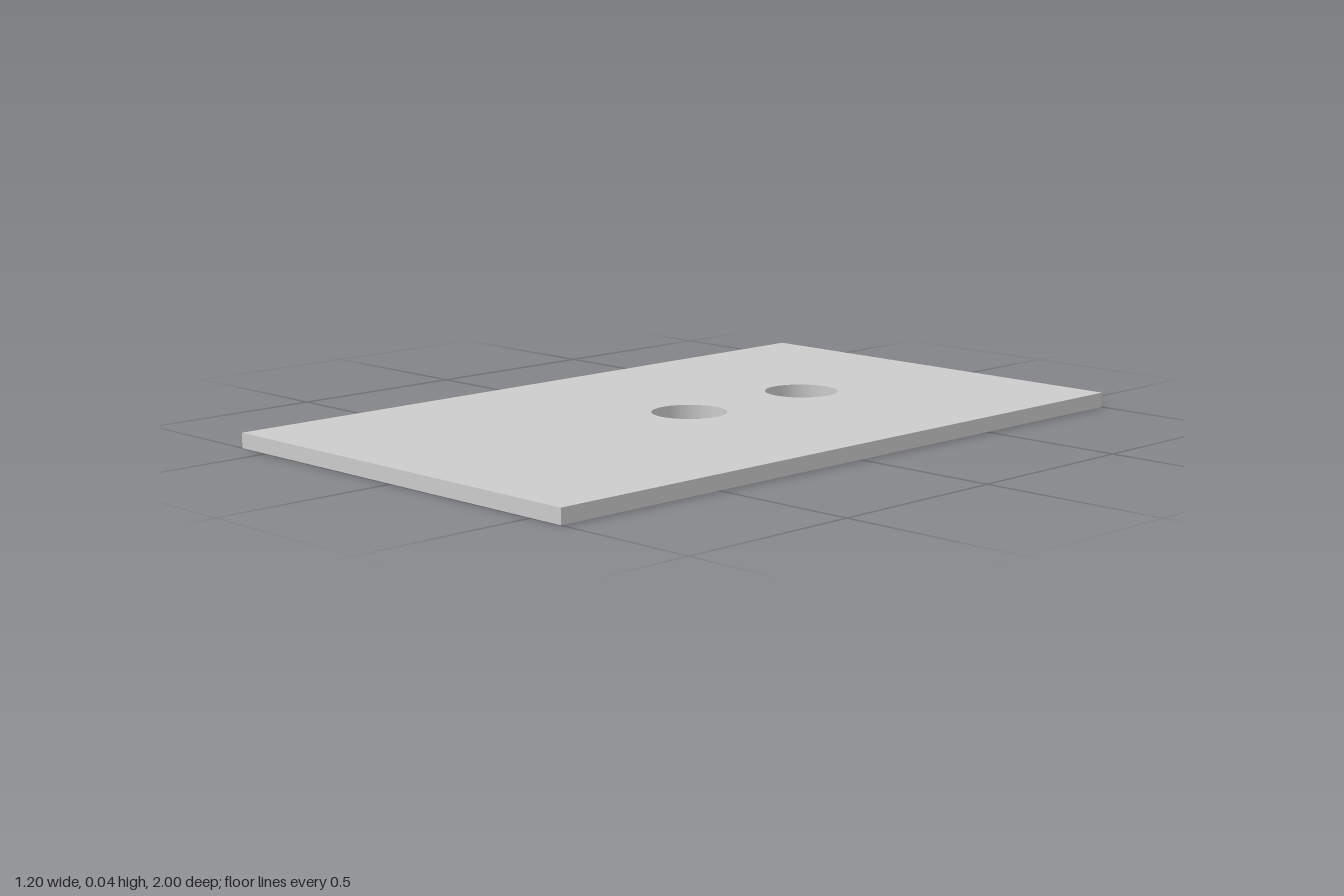
import * as THREE from 'three';
import { toCreasedNormals } from 'three/addons/utils/BufferGeometryUtils.js';

const WIDTH = 1.2, LENGTH = 2, THICKNESS = 0.04;
const HOLE_RADIUS = 0.1;
const HOLE_Z = [0, -0.435];

export function createModel() {
  const group = new THREE.Group();
  group.name = 'drilledPlate';

  // Rectangular outline, drawn flat with shape y = -z
  const w = WIDTH / 2, l = LENGTH / 2;
  const outline = new THREE.Shape([
    new THREE.Vector2(-w, -l),
    new THREE.Vector2(w, -l),
    new THREE.Vector2(w, l),
    new THREE.Vector2(-w, l),
  ]);

  // Two round through-holes on the centre line
  for (const z of HOLE_Z) {
    outline.holes.push(new THREE.Path().absarc(0, -z, HOLE_RADIUS, 0, Math.PI * 2, true));
  }

  // Extrude the thickness and lay the plate down on the ground
  const extruded = new THREE.ExtrudeGeometry(outline, {
    depth: THICKNESS, bevelEnabled: false, curveSegments: 64,
  });
  extruded.rotateX(-Math.PI / 2);

  const plate = new THREE.Mesh(
    toCreasedNormals(extruded, Math.PI / 6),
    new THREE.MeshStandardMaterial({ color: 0xcccccc }),
  );
  plate.name = 'plate';
  group.add(plate);
  return group;
}
